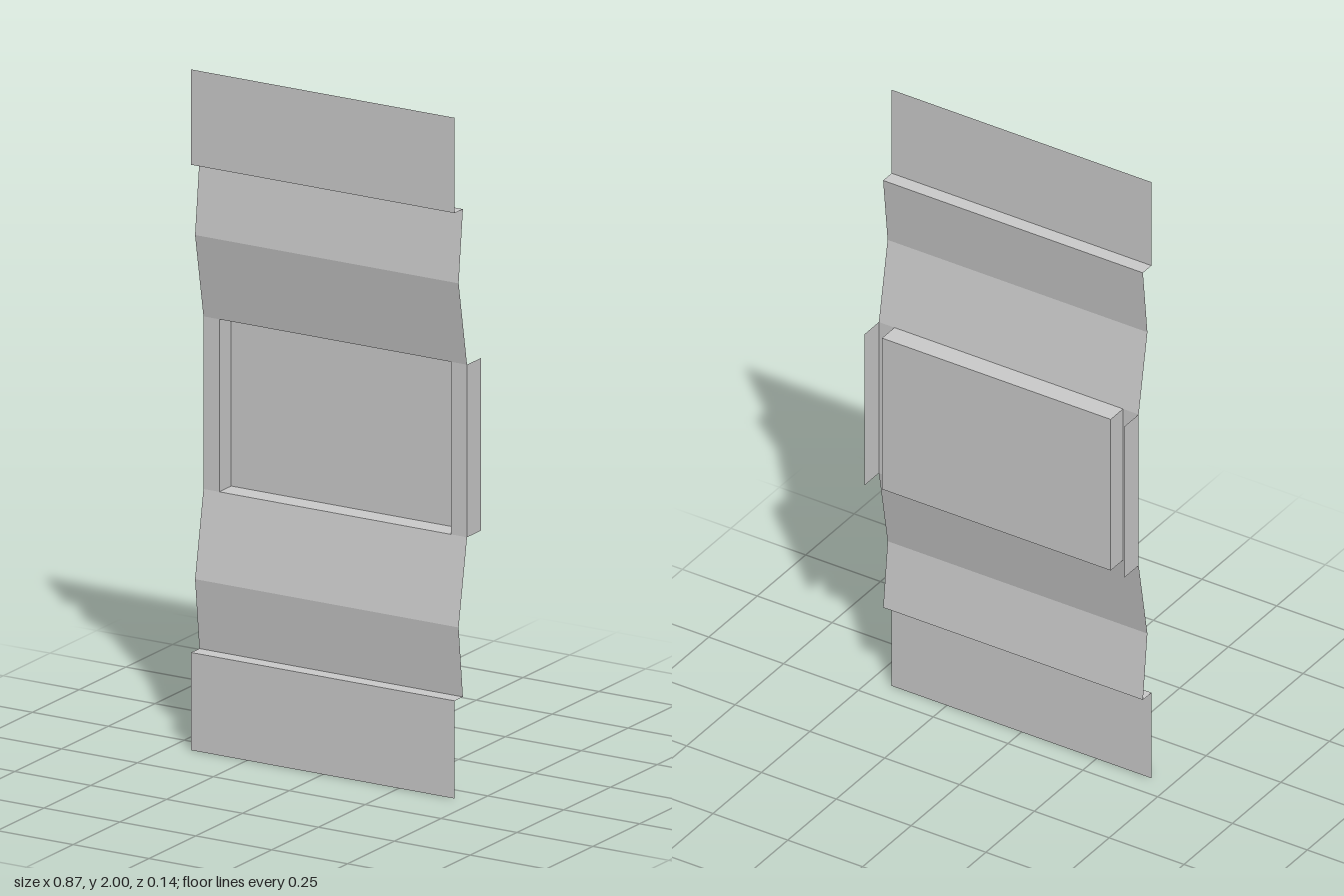
import * as THREE from 'three';

const material = new THREE.MeshStandardMaterial({
  color: 0xcccccc, flatShading: true, side: THREE.DoubleSide,
});

const HALF_W = 0.434;    // half width of the sheet
const POCKET_W = 0.382;  // half width of the pocket
const LOW = 0.75, HIGH = 1.257;            // height range of the flat middle
const MID_Z = 0.004, POCKET_Z = -0.06, FLANGE_Z = -0.07;

// Thin folded sheet: a [y, z] profile, listed downwards, swept from x0 to x1
function foldedSheet(name, profile, x0, x1) {
  const positions = [], indices = [];
  profile.forEach(([y, z], i) => {
    positions.push(x0, y, z, x1, y, z);
    if (i > 0) {
      const a = 2 * (i - 1);
      indices.push(a, a + 2, a + 1, a + 1, a + 2, a + 3);
    }
  });
  const geometry = new THREE.BufferGeometry();
  geometry.setAttribute('position', new THREE.Float32BufferAttribute(positions, 3));
  geometry.setIndex(indices);
  const flat = geometry.toNonIndexed();
  flat.computeVertexNormals();
  const mesh = new THREE.Mesh(flat, material);
  mesh.name = name;
  return mesh;
}

// Upright wall in the yz plane, facing +x or -x
function sideWall(name, x, zBack, facing) {
  const geometry = new THREE.PlaneGeometry(MID_Z - zBack, HIGH - LOW);
  geometry.rotateY(facing * Math.PI / 2);
  const mesh = new THREE.Mesh(geometry, material);
  mesh.position.set(x, (LOW + HIGH) / 2, (MID_Z + zBack) / 2);
  mesh.name = name;
  return mesh;
}

export function createModel() {
  const group = new THREE.Group();
  group.name = 'foldedPanel';

  // Upper and lower folds: end plate, ledge and two slanted faces
  group.add(foldedSheet('upperFolds',
    [[2, 0.07], [1.72, 0.07], [1.72, 0.026], [1.508, 0.049], [HIGH, MID_Z]], -HALF_W, HALF_W));
  group.add(foldedSheet('lowerFolds',
    [[LOW, MID_Z], [0.497, 0.049], [0.287, 0.026], [0.287, 0.07], [0, 0.07]], -HALF_W, HALF_W));

  // Recessed pocket, open to the front
  group.add(foldedSheet('pocket',
    [[HIGH, MID_Z], [HIGH, POCKET_Z], [LOW, POCKET_Z], [LOW, MID_Z]], -POCKET_W, POCKET_W));

  // Pocket ends, narrow frame strips and rear flanges on both sides
  for (const [side, s] of [['left', 1], ['right', -1]]) {
    group.add(sideWall(side + 'PocketWall', s * POCKET_W, POCKET_Z, -s));
    group.add(sideWall(side + 'Flange', s * HALF_W, FLANGE_Z, s));
    const xs = [s * POCKET_W, s * HALF_W].sort((a, b) => a - b);
    group.add(foldedSheet(side + 'Strip', [[HIGH, MID_Z], [LOW, MID_Z]], xs[0], xs[1]));
  }
  return group;
}
